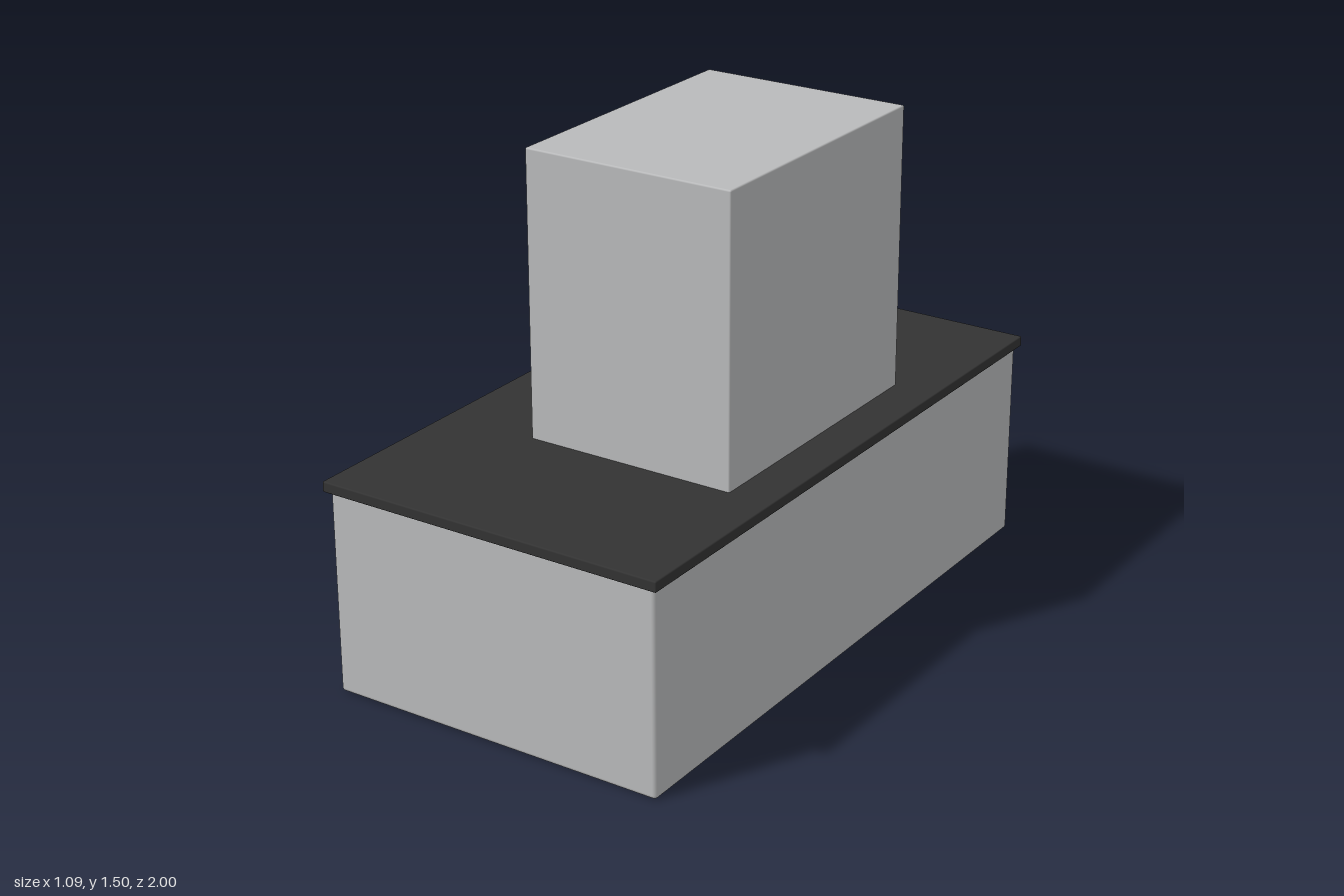
import * as THREE from 'three';
import { RoundedBoxGeometry } from 'three/addons/geometries/RoundedBoxGeometry.js';

export function createModel() {
  const model = new THREE.Group();
  model.name = 'kitchenIslandWithHood';

  const steel = new THREE.MeshStandardMaterial({ color: 0xb9babb });
  steel.name = 'light grey';
  const slate = new THREE.MeshStandardMaterial({ color: 0x333333 });
  slate.name = 'dark grey';

  // Softly rounded block from x centre, y range, width, depth and edge radius
  function block(name, material, x, y0, y1, width, depth, radius) {
    const geometry = new RoundedBoxGeometry(width, y1 - y0, depth, 3, radius);
    const mesh = new THREE.Mesh(geometry, material);
    mesh.name = name;
    mesh.position.set(x, (y0 + y1) / 2, 0);
    model.add(mesh);
  }

  // Base cabinet, overhanging slab, and off-centre upper block
  block('base', steel, 0, 0, 0.635, 1.066, 1.97, 0.012);
  block('slab', slate, 0, 0.616, 0.648, 1.094, 2, 0.004);
  block('upperBlock', steel, 0.084, 0.63, 1.503, 0.66, 0.906, 0.005);

  return model;
}
